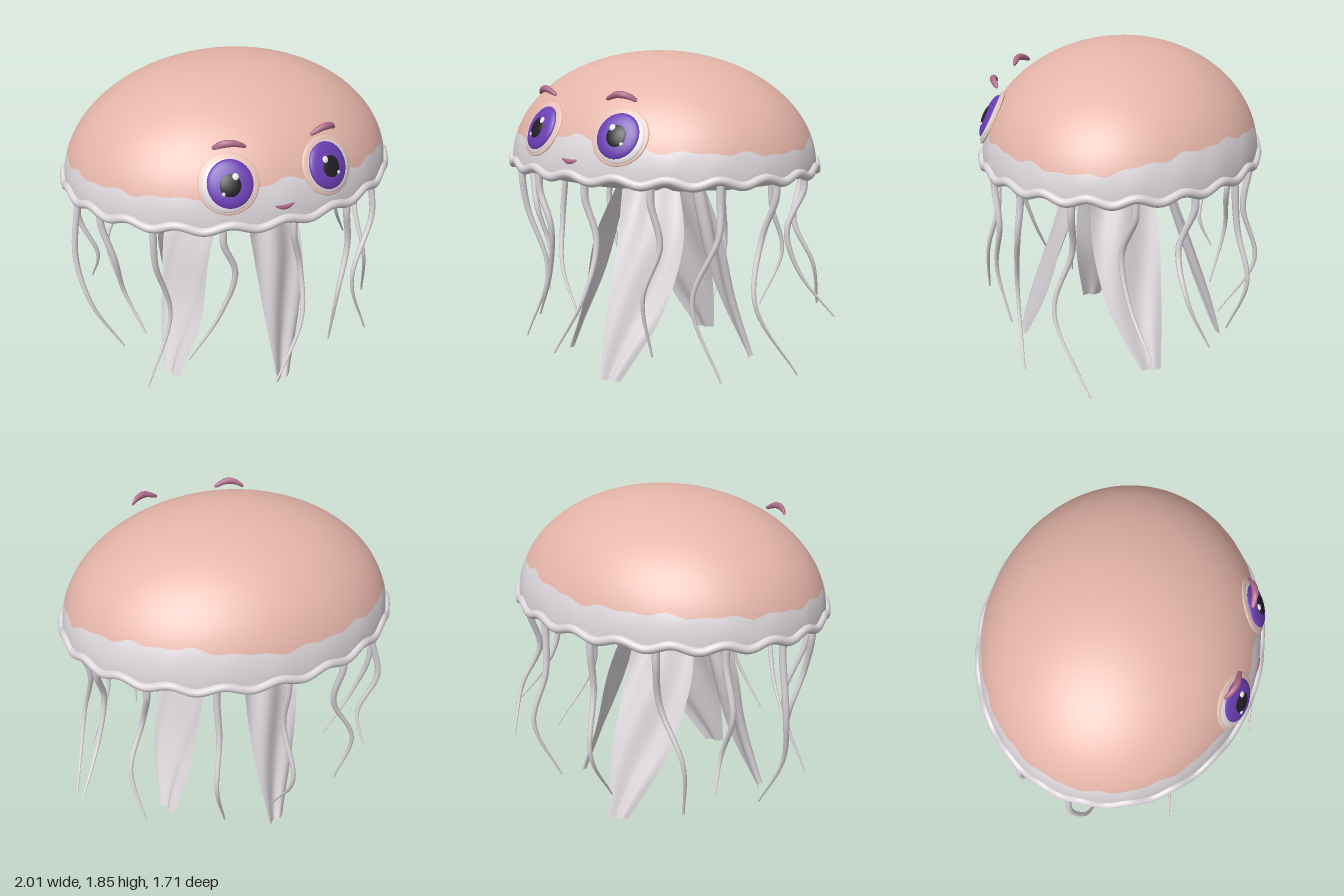
import * as THREE from 'three';
import { mergeVertices } from 'three/addons/utils/BufferGeometryUtils.js';

const mat = (name, color, side = THREE.FrontSide) => {
  const m = new THREE.MeshStandardMaterial({ color, side });
  m.name = name;
  return m;
};

// Smooth surface swept by fn(u, v) with u, v in 0..1
function surface(fn, nu, nv) {
  const pos = [], idx = [];
  for (let j = 0; j <= nv; j++)
    for (let i = 0; i <= nu; i++) pos.push(...fn(i / nu, j / nv));
  for (let j = 0; j < nv; j++)
    for (let i = 0; i < nu; i++) {
      const a = j * (nu + 1) + i, b = a + 1, c = a + nu + 1, d = c + 1;
      idx.push(a, b, d, a, d, c);
    }
  const g = new THREE.BufferGeometry();
  g.setAttribute('position', new THREE.Float32BufferAttribute(pos, 3));
  g.setIndex(idx);
  const merged = mergeVertices(g, 1e-5);
  merged.computeVertexNormals();
  return merged;
}

const TAU = Math.PI * 2;
const CX = -0.013, CZ = -0.02, A = 0.961, C = 0.804, BASE = 1.2, H = 0.65;
const rimY = th => BASE + 0.005 + 0.017 * Math.cos(20 * th);

// Smooth value through evenly spaced keys
const spline = keys => {
  const c = new THREE.CatmullRomCurve3(keys.map((k, i) => new THREE.Vector3(k, i, 0)));
  return t => c.getPoint(t).x;
};

export function createModel() {
  const root = new THREE.Group();
  root.name = 'jellyfish';
  const skin = mat('coralSkin', 0xe5b5a9);
  const pale = mat('paleMembrane', 0xdcd6da, THREE.DoubleSide);
  const glow = mat('eyeSocketPeach', 0xe6c2b6);
  const violet = mat('violetIris', 0x6a3db2);
  const black = mat('blackPupil', 0x211e24);
  const white = mat('whiteGlint', 0xf4f2f5);
  const pink = mat('pinkBrow', 0xb06a8a, THREE.DoubleSide);

  const add = (name, geo, material, parent = root) => {
    const m = new THREE.Mesh(geo, material);
    m.name = name;
    parent.add(m);
    return m;
  };

  // Bell: pale skirt rows below a wavy line, coral rows above it
  const nu = 160, skirtRows = 8, rows = 40;
  const edgeAt = spline([1.425, 1.37, 1.355, 1.335, 1.4, 1.42, 1.37, 1.37, 1.355, 1.345, 1.355, 1.37, 1.425]);
  const bell = surface((u, v) => {
    const th = u * TAU, row = Math.round(v * rows);
    const edge = edgeAt(u % 1) + 0.008 * Math.sin(17 * th + 1) + 0.007 * Math.sin(29 * th);
    const split = Math.asin((edge - BASE) / H);
    const phi = row <= skirtRows
      ? split * row / skirtRows
      : split + (Math.PI / 2 - split) * (row - skirtRows) / (rows - skirtRows);
    const r = row === rows ? 0 : Math.cos(phi);
    const drop = row < skirtRows ? (rimY(th) - BASE) * (1 - row / skirtRows) : 0;
    return [CX + A * r * Math.sin(th), BASE + H * Math.sin(phi) + drop, CZ + C * r * Math.cos(th)];
  }, nu, rows);
  const cut = skirtRows * nu * 6;
  bell.addGroup(0, cut, 0);
  bell.addGroup(cut, bell.index.count - cut, 1);
  add('bell', bell, [pale, skin]);

  // Wavy rolled rim
  const rimPts = Array.from({ length: 160 }, (_, i) => {
    const th = i / 160 * TAU;
    return new THREE.Vector3(CX + A * Math.sin(th), rimY(th) - 0.005, CZ + C * Math.cos(th));
  });
  add('rim', new THREE.TubeGeometry(new THREE.CatmullRomCurve3(rimPts, true), 240, 0.026, 10, true), pale);

  // Pleated underside
  const underY = spline([1.19, 1.135, 1.105, 1.108, 1.135, 1.185]);
  add('underside', surface((u, v) => {
    const th = u * TAU, r = v * 0.985;
    const pleat = 0.006 * Math.cos(40 * th) * Math.sin(Math.PI * v);
    return [CX + A * r * Math.sin(th), underY(v) + pleat + (rimY(th) - BASE) * v * v, CZ + C * r * Math.cos(th)];
  }, 160, 16), pale);

  // Four broad oral arms: outward distance and sideways drift, top to bottom
  const arms = [
    [[0.2, 0.31, 0.43, 0.58], [0.08, 0.17, 0.16, 0.1]],
    [[0.2, 0.3, 0.38, 0.47], [0.05, 0.1, 0.17, 0.29]],
    [[0.2, 0.33, 0.46, 0.61], [0.15, 0.18, 0.16, 0.12]],
    [[0.2, 0.33, 0.39, 0.5], [0.05, 0.11, 0.18, 0.27]],
  ];
  const halfWidth = spline([0.13, 0.185, 0.15, 0.052]);
  const yaw = spline([0.05, 0.08, 0.08, 0.02]);
  arms.forEach(([out, drift], k) => {
    const outAt = spline(out), sideAt = spline(drift);
    const arm = add('oralArm', surface((u, t) => {
      const s = u * 2 - 1;
      const fold = 0.025 * Math.sin(s * 4.5 + t * 6) * (1 - 0.6 * t);
      return [sideAt(t) + s * halfWidth(t), 1.18 * (1 - t), outAt(t) + fold - s * yaw(t)];
    }, 24, 36), pale);
    arm.rotation.y = k * Math.PI / 2;
  });

  // Thin trailing tentacles: three lower path points each, roots evenly round the rim
  const trails = [
    [0.12, 0.85, 0.71, 0.1, 0.55, 0.79, -0.08, 0.2, 0.85],
    [0.48, 0.85, 0.6, 0.4, 0.55, 0.65, 0.4, 0.2, 0.57],
    [0.74, 0.9, 0.42, 0.6, 0.52, 0.47, 0.75, 0.08, 0.4],
    [0.8, 0.85, 0.1, 0.83, 0.5, 0.2, 0.97, 0.06, -0.03],
    [0.79, 0.85, -0.17, 0.85, 0.6, -0.22, 1.0, 0.33, -0.37],
    [0.65, 0.85, -0.46, 0.75, 0.58, -0.53, 0.71, 0.3, -0.65],
    [0.3, 0.85, -0.75, 0.34, 0.55, -0.82, 0.25, 0.2, -0.7],
    [-0.08, 0.85, -0.75, -0.12, 0.5, -0.83, -0.08, 0.15, -0.62],
    [-0.45, 0.82, -0.62, -0.6, 0.5, -0.6, -0.54, 0.14, -0.52],
    [-0.82, 0.8, -0.45, -0.72, 0.52, -0.42, -0.74, 0.32, -0.5],
    [-0.94, 0.7, -0.12, -0.88, 0.4, -0.05, -0.7, 0.07, -0.02],
    [-0.81, 0.85, 0.24, -0.75, 0.6, 0.2, -0.66, 0.35, 0.3],
    [-0.65, 0.9, 0.48, -0.55, 0.52, 0.42, -0.71, 0.08, 0.45],
    [-0.26, 0.88, 0.68, -0.33, 0.58, 0.62, -0.49, 0.28, 0.55],
  ];
  trails.forEach((p, i) => {
    const th = 0.085 + i / trails.length * TAU;
    const x = CX + 0.9 * Math.sin(th), z = CZ + 0.76 * Math.cos(th);
    const pts = [new THREE.Vector3(x, 1.19, z), new THREE.Vector3(x, 1.08, z)];
    for (let j = 0; j < 9; j += 3) pts.push(new THREE.Vector3(p[j], p[j + 1], p[j + 2]));
    const curve = new THREE.CatmullRomCurve3(pts);
    add('tentacle', surface((u, v) => {
      const c = curve.getPoint(v), r = 0.022 * (1 - 0.75 * v * v), a = u * TAU;
      return [c.x + r * Math.cos(a), c.y, c.z + r * Math.sin(a)];
    }, 8, 40), pale);
  });

  // Eyes and brows, mirrored about the face line
  const ball = new THREE.SphereGeometry(1, 40, 24);
  const lens = (name, material, parent, x, y, z, sx, sy, sz) => {
    const m = add(name, ball, material, parent);
    m.position.set(x, y, z);
    m.scale.set(sx, sy, sz);
  };
  for (const s of [-1, 1]) {
    const ex = 0.285 * s, ey = 1.435 - BASE;
    const ez = C * Math.sqrt(1 - (ex / A) ** 2 - (ey / H) ** 2);
    const n = new THREE.Vector3(ex / A ** 2, ey / H ** 2, ez / C ** 2).normalize();
    const eye = new THREE.Group();
    eye.name = s < 0 ? 'rightEye' : 'leftEye';
    eye.position.set(CX + ex, BASE + ey, CZ + ez).addScaledVector(n, 0.002);
    eye.lookAt(eye.position.clone().add(n));
    root.add(eye);
    lens('eyeSocket', glow, eye, 0.006 * s, 0, -0.012, 0.165, 0.165, 0.022);
    lens('eyelid', pale, eye, 0.01 * s, -0.006, -0.006, 0.144, 0.146, 0.026);
    lens('iris', violet, eye, 0, 0, 0.003, 0.125, 0.131, 0.034);
    lens('pupil', black, eye, 0, -0.006, 0.022, 0.066, 0.07, 0.022);
    lens('glint', white, eye, -0.028 * s, 0.036, 0.036, 0.018, 0.02, 0.009);
    lens('smallGlint', white, eye, 0.038 * s, -0.052, 0.033, 0.01, 0.011, 0.008);

    const path = new THREE.CatmullRomCurve3([
      [0.358, 1.628, 0.628], [0.315, 1.652, 0.656], [0.26, 1.657, 0.674], [0.188, 1.63, 0.677],
    ].map(([x, y, z]) => new THREE.Vector3(CX + x * s, y, z)));
    add('brow', surface((u, v) => {
      const c = path.getPoint(v), a = u * TAU * s;
      const r = 0.007 + 0.013 * Math.sqrt(Math.sin(Math.PI * Math.min(v, 0.9999)));
      return [c.x, c.y + r * Math.cos(a), c.z - r * Math.sin(a)];
    }, 10, 20), pink);
  }

  // Small smiling mouth
  add('mouth', surface((u, v) => {
    const s = v * 2 - 1, a = u * TAU, r = 0.006 + 0.011 * (1 - s * s);
    return [CX + 0.06 * s, 1.282 + 0.014 * s * s + r * Math.cos(a), 0.77 - 0.002 * s * s + r * Math.sin(a)];
  }, 10, 16), pink);

  return root;
}
